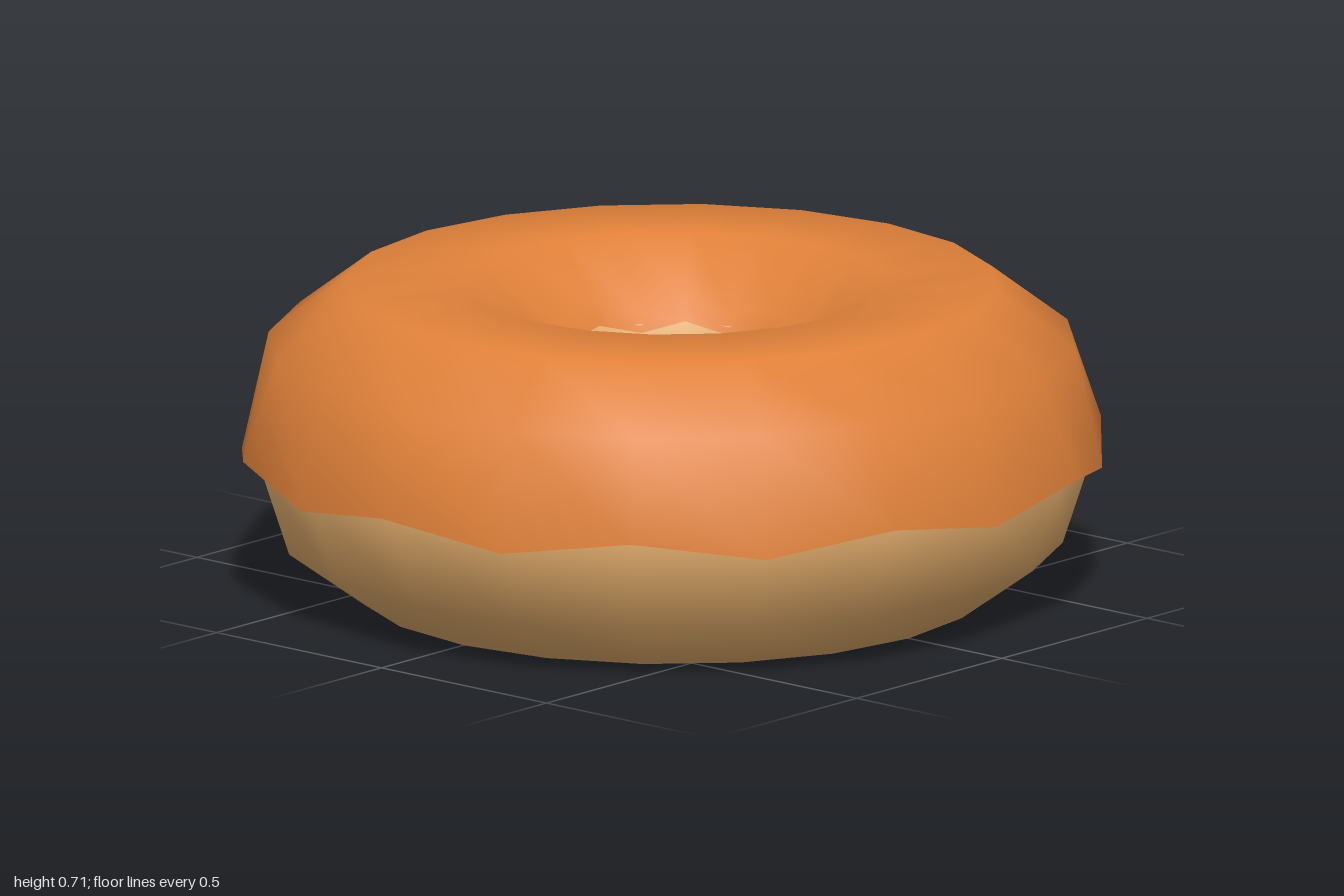
import * as THREE from 'three';
import { mergeVertices } from 'three/addons/utils/BufferGeometryUtils.js';

const SIDES = 20;

// Revolve a profile of [r, y] points; odd columns use the second profile if given.
function ring(name, material, profile, droop = profile) {
  const pts = profile.map(([r, y]) => new THREE.Vector2(r, y));
  let geo = new THREE.LatheGeometry(pts, SIDES);
  const pos = geo.attributes.position;
  const n = profile.length;
  for (let i = 0; i <= SIDES; i++) {
    const a = (i / SIDES) * Math.PI * 2;
    const column = i % 2 ? profile : droop;
    column.forEach(([r, y], j) => pos.setXYZ(i * n + j, r * Math.sin(a), y, r * Math.cos(a)));
  }
  // weld the seams so the shading is smooth all round
  geo.deleteAttribute('uv');
  geo.deleteAttribute('normal');
  geo = mergeVertices(geo, 1e-4);
  geo.computeVertexNormals();
  const mesh = new THREE.Mesh(geo, material);
  mesh.name = name;
  return mesh;
}

export function createModel() {
  const dough = new THREE.MeshStandardMaterial({ color: 0xdfaa6a });
  dough.name = 'dough';
  const glaze = new THREE.MeshStandardMaterial({ color: 0xe0813a, side: THREE.DoubleSide });
  glaze.name = 'orange glaze';

  const model = new THREE.Group();
  model.name = 'donut';

  // Dough: ten-sided tube swept round the hole
  const tube = [];
  for (let j = 0; j <= 10; j++) {
    const a = (j / 10) * Math.PI * 2;
    tube.push([0.61 + 0.35 * Math.cos(a), 0.333 + 0.35 * Math.sin(a)]);
  }
  model.add(ring('doughRing', dough, tube));

  // Glaze: shell over the top half with a zigzag edge and a thin lip
  const top = [[0.922, 0.58], [0.745, 0.715], [0.485, 0.715]];
  model.add(ring('glazeTop', glaze,
    [[0.955, 0.36], [1.0, 0.35], ...top, [0.35, 0.59], [0.323, 0.545]],
    [[0.955, 0.32], [0.983, 0.305], ...top, [0.338, 0.56], [0.318, 0.52]]));

  return model;
}
